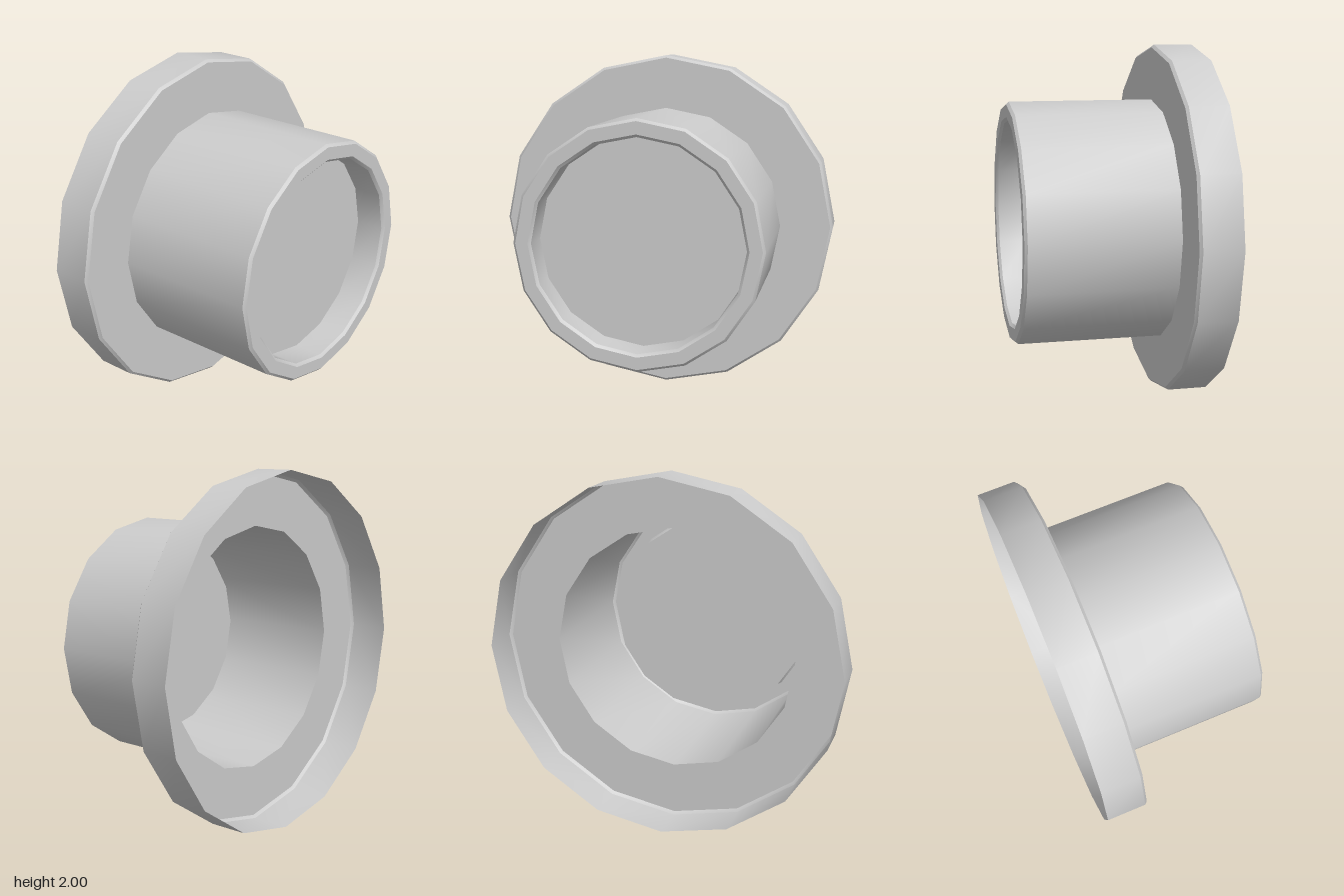
import * as THREE from 'three';
import { toCreasedNormals } from 'three/addons/utils/BufferGeometryUtils.js';

const SIDES = 16;
const BACK = -0.535, FLANGE = -0.3, FRONT = 0.535, DISC = 0.355;
const BEVEL = 0.015;

const material = new THREE.MeshStandardMaterial({ color: 0xcccccc, side: THREE.DoubleSide });

// Revolves [radius, z] points around the z axis, smooth around, sharp at bevels
function revolve(name, points) {
  const lathe = new THREE.LatheGeometry(points.map(([r, z]) => new THREE.Vector2(r, z)), SIDES);
  lathe.rotateX(Math.PI / 2);
  const mesh = new THREE.Mesh(toCreasedNormals(lathe, 0.6), material);
  mesh.name = name;
  return mesh;
}

export function createModel() {
  const model = new THREE.Group();
  model.name = 'flangedTube';

  const body = new THREE.Group();
  body.position.y = 1;
  model.add(body);

  // Thin flange, open at the back, with a bevelled front edge
  body.add(revolve('flange', [
    [1, BACK], [1, FLANGE - BEVEL], [1 - BEVEL, FLANGE], [0.69, FLANGE],
  ]));

  // Tube wall, bevelled front lip and the short inner wall behind it
  body.add(revolve('tube', [
    [0.69, FLANGE], [0.69, FRONT - BEVEL], [0.69 - BEVEL, FRONT],
    [0.605, FRONT], [0.59, FRONT - BEVEL], [0.59, DISC],
  ]));

  // Recessed disc closing the tube
  const disc = new THREE.Mesh(new THREE.CircleGeometry(0.59, SIDES), material);
  disc.name = 'recessedDisc';
  disc.position.z = DISC;
  body.add(disc);

  return model;
}
